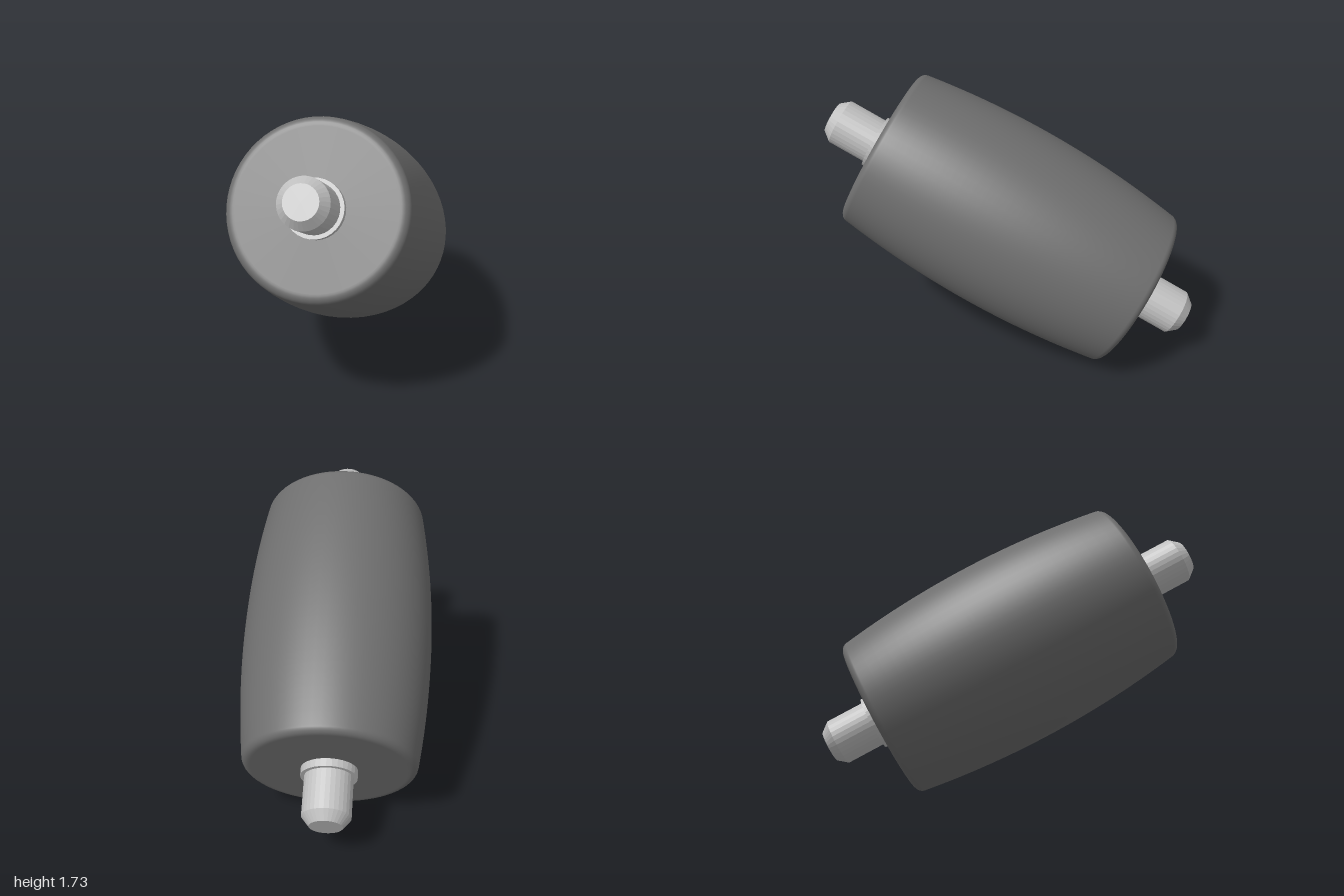
import * as THREE from 'three';

const V = (x, y) => new THREE.Vector2(x, y);

export function createModel() {
  const rubber = new THREE.MeshStandardMaterial({ color: 0x6e6e6e });
  rubber.name = 'dark grey body';
  const steel = new THREE.MeshStandardMaterial({ color: 0xc0c0c0 });
  steel.name = 'light grey pin';

  // Barrel: gently bulged side, rounded rims, flat ends
  const half = 0.92, fillet = 0.05, rimRadius = 0.47, lean = 0.16;
  const endY = half - fillet + fillet * Math.sin(lean);
  const endR = rimRadius + fillet * Math.cos(lean);
  const upper = [];
  for (let i = 1; i <= 12; i++) {
    const t = i / 12;
    upper.push(V(0.585 - (0.585 - endR) * t * t, endY * t));
  }
  for (let i = 1; i <= 6; i++) {
    const a = lean + (Math.PI / 2 - lean) * i / 6;
    upper.push(V(rimRadius + fillet * Math.cos(a), half - fillet + fillet * Math.sin(a)));
  }
  upper.push(V(rimRadius - 0.01, half), V(0, half));
  const lower = upper.map((p) => V(p.x, -p.y)).reverse();
  const barrel = new THREE.Mesh(new THREE.LatheGeometry([...lower, V(0.585, 0), ...upper], 64), rubber);
  barrel.name = 'barrel';

  // Pin: collar, shaft and chamfered tip, with faceted sides
  const pinProfile = [
    V(0.168, 0.9), V(0.168, 0.968), V(0.145, 0.968),
    V(0.145, 1.212), V(0.098, 1.27), V(0, 1.27),
  ];
  const pinGeometry = new THREE.LatheGeometry(pinProfile, 32).toNonIndexed();
  pinGeometry.computeVertexNormals();

  const roller = new THREE.Group();
  roller.name = 'roller';
  roller.add(barrel);
  for (const [name, turn] of [['frontPin', 0], ['backPin', Math.PI]]) {
    const pin = new THREE.Mesh(pinGeometry, steel);
    pin.name = name;
    pin.rotation.x = turn;
    roller.add(pin);
  }

  // Tilt the axis toward the upper front right
  const axis = new THREE.Vector3(-0.707, 0.454, 0.542).normalize();
  roller.quaternion.setFromUnitVectors(new THREE.Vector3(0, 1, 0), axis);
  roller.position.y = 0.863;

  const model = new THREE.Group();
  model.name = 'model';
  model.add(roller);
  return model;
}
